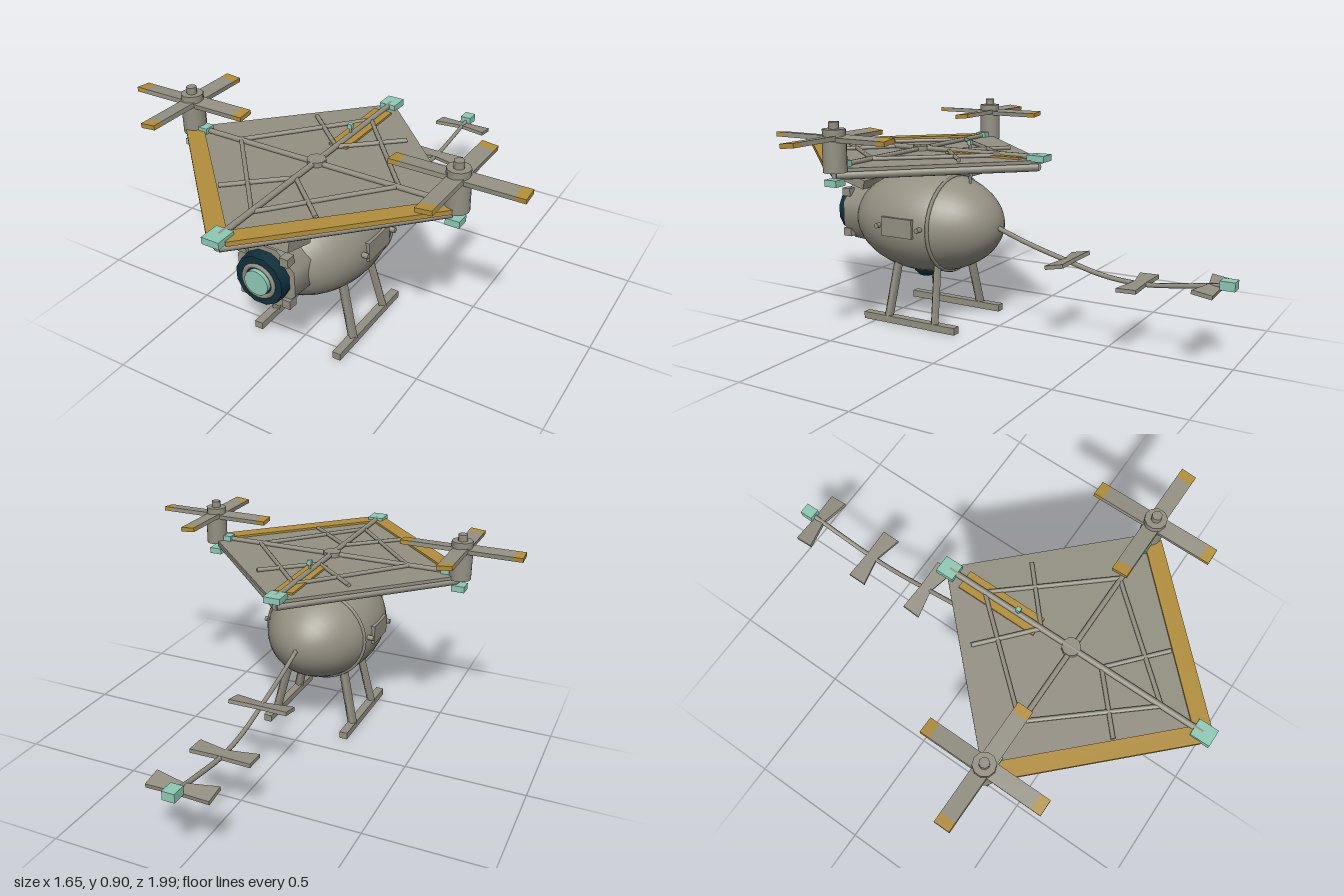
import * as THREE from 'three';

const mat = (name, color) => Object.assign(new THREE.MeshStandardMaterial({ color }), { name });

export function createModel() {
  const grey = mat('warm grey', 0x949083);
  const gold = mat('gold', 0xb28e3c);
  const teal = mat('pale teal', 0x8fcab6);
  const navy = mat('dark navy', 0x0f303c);
  const model = new THREE.Group();

  const add = (name, geo, m, x = 0, y = 0, z = 0, parent = model) => {
    const mesh = new THREE.Mesh(geo, m);
    mesh.name = name;
    mesh.position.set(x, y, z);
    parent.add(mesh);
    return mesh;
  };
  const box = (name, m, w, h, d, x, y, z, parent) =>
    add(name, new THREE.BoxGeometry(w, h, d), m, x, y, z, parent);
  // Cylinder lying along z, from z0 to z1
  const barrel = (name, m, rBack, rFront, z0, z1, y, sides) => {
    const geo = new THREE.CylinderGeometry(rFront, rBack, z1 - z0, sides);
    geo.rotateY(Math.PI / sides).rotateX(Math.PI / 2);
    return add(name, geo, m, 0, y, (z0 + z1) / 2);
  };
  // Rod between two points; four sides give a square beam
  const rod = (name, m, a, b, r, sides = 8) => {
    const p = new THREE.Vector3(...a), q = new THREE.Vector3(...b);
    const dir = q.clone().sub(p);
    const geo = new THREE.CylinderGeometry(r, r, dir.length(), sides);
    geo.rotateY(Math.PI / sides);
    const mesh = add(name, geo, m);
    mesh.position.copy(p).add(q).multiplyScalar(0.5);
    mesh.quaternion.setFromUnitVectors(new THREE.Vector3(0, 1, 0), dir.normalize());
    return mesh;
  };

  // Egg-shaped body with a raised band
  const bodyY = 0.425, bodyZ = 0.345;
  add('body', new THREE.SphereGeometry(1, 36, 24).rotateX(Math.PI / 2).scale(0.245, 0.22, 0.345),
    grey, 0, bodyY, bodyZ);
  add('bodyBand', new THREE.TorusGeometry(0.203, 0.008, 6, 40).scale(1.11, 1, 1), grey, 0, bodyY, 0.21);

  // Nose: collar, dark eyepiece, lens, clamps and visor
  barrel('noseCollar', grey, 0.14, 0.132, 0.58, 0.72, 0.435, 8).material = grey;
  barrel('eyeRing', navy, 0.105, 0.1, 0.71, 0.765, 0.437, 12);
  add('lensRim', new THREE.TorusGeometry(0.063, 0.009, 6, 24), grey, 0, 0.437, 0.766);
  barrel('lens', teal, 0.05, 0.05, 0.74, 0.782, 0.437, 20);
  for (const sx of [-1, 1]) for (const sy of [-1, 1])
    box('noseClamp', grey, 0.035, 0.035, 0.04, sx * 0.09, 0.437 + sy * 0.09, 0.715);
  box('visor', grey, 0.24, 0.04, 0.14, 0, 0.588, 0.675).rotation.x = -0.27;

  // Belly sensor
  add('bellySensor', new THREE.SphereGeometry(0.065, 10, 6), navy, 0, 0.235, 0.365);

  for (const s of [-1, 1]) {
    // Side hatch with two bolts
    box('sideHatch', grey, 0.03, 0.08, 0.15, s * 0.234, 0.435, 0.345);
    for (const z of [0.44, 0.24])
      add('hatchBolt', new THREE.CylinderGeometry(0.011, 0.011, 0.04, 8).rotateZ(Math.PI / 2),
        grey, s * 0.237, 0.435, z);

    // Landing skid on two legs
    box('skid', grey, 0.035, 0.03, 0.46, s * 0.183, 0.015, 0.33);
    for (const [zTop, zLow] of [[0.42, 0.44], [0.225, 0.205]])
      rod('leg', grey, [s * 0.125, 0.28, zTop], [s * 0.185, 0.02, zLow], 0.021, 4);
  }

  // Mount between body and kite
  box('mountRail', grey, 0.06, 0.02, 0.41, 0, 0.647, 0.315);
  rod('mountPost', grey, [0, 0.63, 0.385], [0, 0.72, 0.385], 0.022, 10);

  // Diamond kite deck
  const cz = 0.39, deckY = 0.717;
  box('deck', grey, 0.835, 0.014, 0.835, 0, deckY, cz).rotation.y = Math.PI / 4;
  for (const s of [-1, 1]) {
    for (const f of [-1, 1])
      rod('edgeTube', grey, [s * 0.555, 0.694, cz], [0, 0.694, cz + f * 0.565], 0.017, 12);
    box('leadingEdge', gold, 0.76, 0.018, 0.068, s * 0.283, 0.724, cz + 0.283).rotation.y = s * Math.PI / 4;
  }

  // Frame on top of the deck
  const fy = 0.731;
  rod('crossSpar', grey, [-0.55, fy, 0.385], [0.55, fy, 0.385], 0.011);
  rod('keelSpar', grey, [0, fy + 0.003, -0.18], [0, fy + 0.003, 0.95], 0.012);
  box('keelStripe', gold, 0.08, 0.009, 0.345, 0, 0.728, 0.062);
  add('frameHub', new THREE.CylinderGeometry(0.037, 0.037, 0.02, 10), grey, 0, fy + 0.004, 0.38);
  for (const s of [-1, 1]) for (const f of [-1, 1]) {
    rod('innerBrace', grey, [s * 0.345, fy, 0.38], [0, fy, 0.38 + f * 0.395], 0.009);
    rod('cornerBrace', grey, [s * 0.205, fy, 0.38 + f * 0.315], [0, fy, 0.38 + f * 0.135], 0.009);
  }

  // Corner caps
  box('frontCap', teal, 0.07, 0.026, 0.08, 0, 0.732, 0.955);
  box('backCap', teal, 0.07, 0.026, 0.075, 0, 0.732, -0.182);
  for (const s of [-1, 1]) {
    box('sideCap', teal, 0.04, 0.024, 0.045, s * 0.512, 0.735, 0.385);
    box('motorFoot', teal, 0.055, 0.026, 0.055, s * 0.57, 0.669, 0.385);
  }

  // Antenna
  rod('antenna', grey, [0, 0.58, 0.14], [0, 0.77, 0.14], 0.006, 6);
  box('antennaTip', teal, 0.018, 0.02, 0.018, 0, 0.772, 0.14);

  // Rotors with four gold-tipped blades
  for (const s of [-1, 1]) {
    const rotor = new THREE.Group();
    rotor.name = 'rotor';
    rotor.position.set(s * 0.57, 0, 0.38);
    model.add(rotor);
    add('motor', new THREE.CylinderGeometry(0.046, 0.046, 0.12, 16), grey, 0, 0.77, 0, rotor);
    add('rotorHub', new THREE.CylinderGeometry(0.044, 0.044, 0.05, 10), grey, 0, 0.848, 0, rotor);
    add('rotorPin', new THREE.CylinderGeometry(0.02, 0.02, 0.03, 8), grey, 0, 0.885, 0, rotor);
    for (let i = 0; i < 4; i++) {
      const blade = new THREE.Group();
      blade.name = 'blade';
      blade.position.y = 0.838;
      blade.rotation.set(0.1, i * Math.PI / 2, 0, 'YXZ');
      rotor.add(blade);
      box('bladeArm', grey, 0.2, 0.018, 0.064, 0.115, 0, 0, blade);
      box('bladeTip', gold, 0.04, 0.018, 0.064, 0.235, 0, 0, blade);
    }
  }

  // Trailing tail with bows and an end weight
  const tail = new THREE.CatmullRomCurve3([
    [0.02, 0.43], [-0.14, 0.375], [-0.31, 0.328], [-0.48, 0.287], [-0.64, 0.277], [-0.8, 0.295], [-0.96, 0.32],
  ].map(([z, y]) => new THREE.Vector3(0, y, z)));
  add('tail', new THREE.TubeGeometry(tail, 36, 0.01, 6), grey);
  const bowShape = new THREE.Shape([
    [-0.125, -0.04], [0, -0.013], [0.125, -0.04], [0.125, 0.04], [0, 0.036], [-0.125, 0.04],
  ].map(p => new THREE.Vector2(...p)));
  const bowGeo = new THREE.ExtrudeGeometry(bowShape, { depth: 0.016, bevelEnabled: false });
  bowGeo.translate(0, 0, -0.008).rotateX(-Math.PI / 2);
  for (const [y, z, tilt] of [[0.33, -0.315, 0.2], [0.278, -0.615, 0.03], [0.308, -0.905, -0.15]])
    add('tailBow', bowGeo, grey, 0, y, z).rotation.x = tilt;
  box('tailWeight', teal, 0.05, 0.035, 0.058, 0, 0.323, -0.968);

  return model;
}
